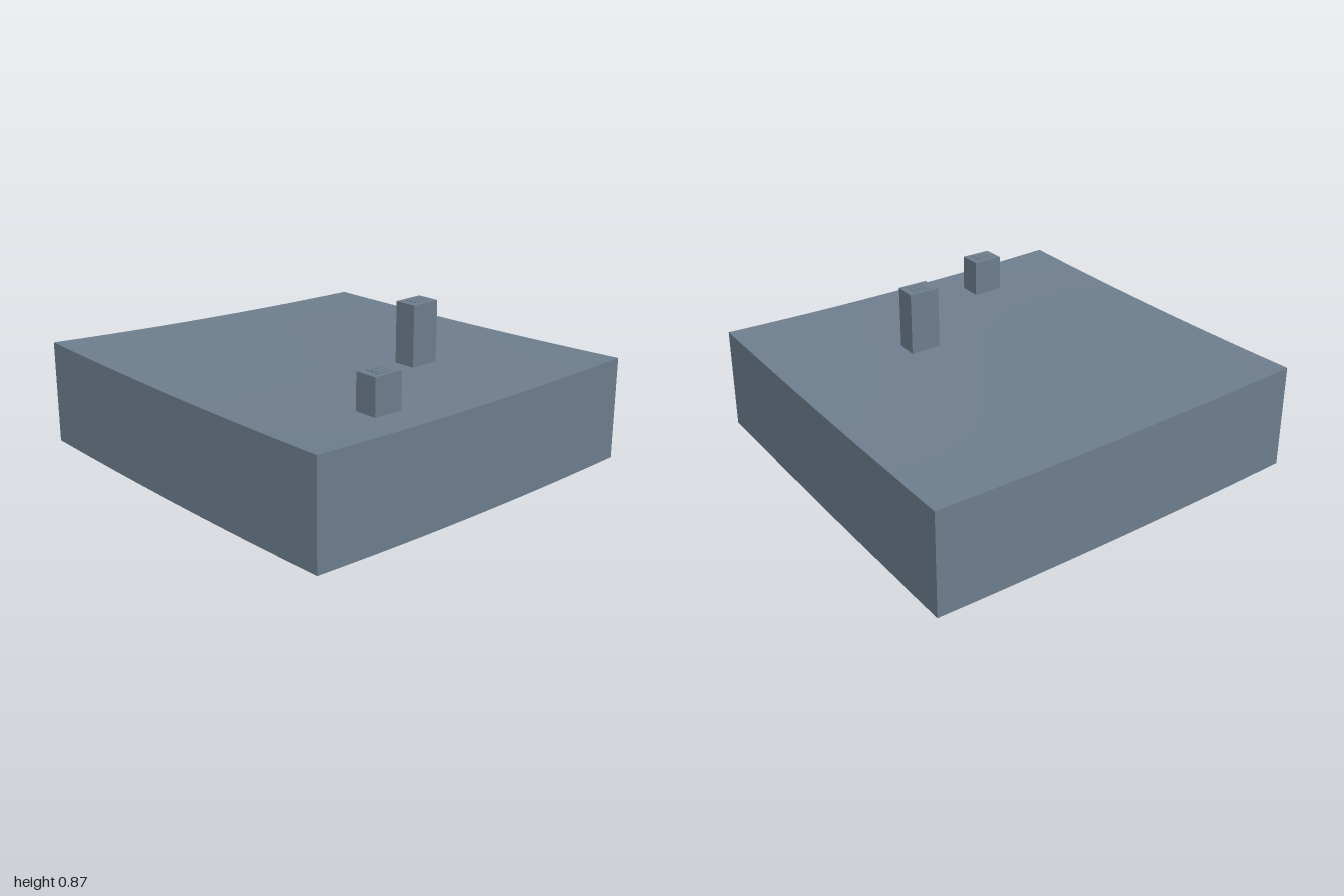
import * as THREE from 'three';

const DEPTH = 0.53;
// ground heights on a 3 x 3 grid: rows z = -1, 0, 1; columns x = -1, 0, 1
const HEIGHTS = [[0.002, 0.013, 0.045], [0.03, 0.029, 0.039], [0.086, 0.063, 0.068]];

const blend = ([a, b, c], t) => b + (c - a) / 2 * t + ((a + c) / 2 - b) * t * t;
const ground = (x, z) => blend(HEIGHTS.map(row => blend(row, x)), z);

export function createModel() {
  const model = new THREE.Group();
  model.name = 'terrainBlock';
  const slate = new THREE.MeshStandardMaterial({ color: 0x708090, side: THREE.DoubleSide });
  slate.name = 'slate';

  const add = (parent, geometry, name) => {
    const mesh = new THREE.Mesh(geometry, slate);
    mesh.name = name;
    parent.add(mesh);
    return mesh;
  };

  // gently rolling top surface
  const top = new THREE.PlaneGeometry(2, 2, 24, 24).rotateX(-Math.PI / 2);
  const p = top.attributes.position;
  for (let i = 0; i < p.count; i++) p.setY(i, ground(p.getX(i), p.getZ(i)) + DEPTH);
  top.computeVertexNormals();
  add(model, top, 'topSurface');

  // four side walls that follow the surface, open underneath
  ['frontWall', 'leftWall', 'backWall', 'rightWall'].forEach((name, i) => {
    const wall = new THREE.PlaneGeometry(2, 1, 24, 1).translate(0, 0.5, 1).rotateY(i * Math.PI / 2);
    const w = wall.attributes.position;
    for (let j = 0; j < w.count; j++) {
      w.setY(j, ground(w.getX(j), w.getZ(j)) + w.getY(j) * DEPTH);
    }
    add(model, wall, name);
  });

  // rectangular stacks standing on the surface
  const stack = (name, x, z, topY) => {
    const group = new THREE.Group();
    group.name = name;
    const base = ground(x, z) + DEPTH - 0.005;
    const height = topY - base;
    group.position.set(x, base, z);
    add(group, new THREE.BoxGeometry(0.12, height, 0.16).translate(0, height / 2, 0), 'shaft');
    // low ribs on the cap
    for (const rx of [-0.027, 0, 0.027]) {
      add(group, new THREE.BoxGeometry(0.015, 0.004, 0.085).translate(rx, height + 0.002, 0), 'capRib');
    }
    model.add(group);
  };
  stack('tallStack', 0.33, -0.25, 0.872);
  stack('shortStack', 0.75, 0.415, 0.76);

  return model;
}
